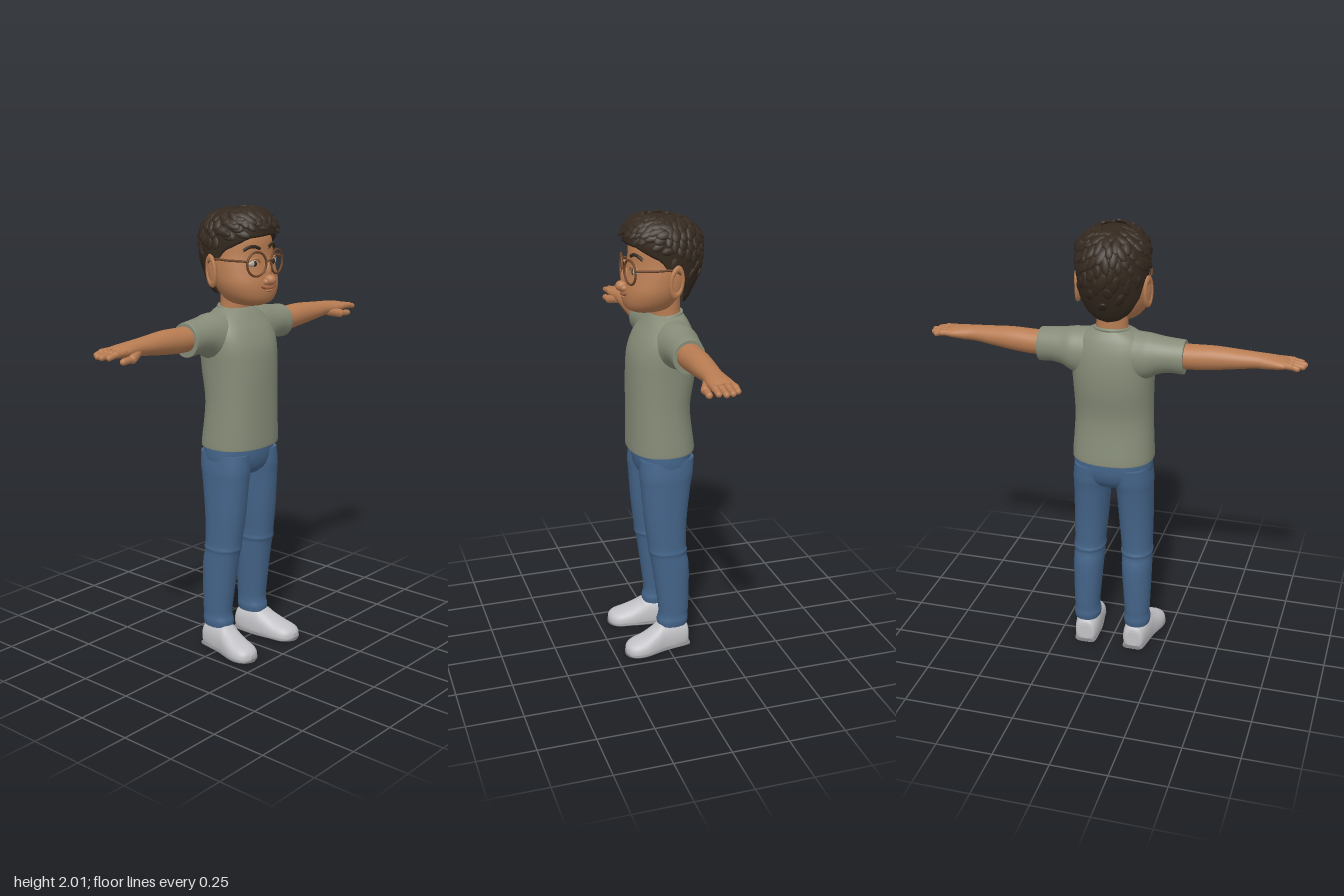
import * as THREE from 'three';
import { mergeGeometries } from 'three/addons/utils/BufferGeometryUtils.js';

const mat = (name, color, side = THREE.FrontSide) => {
  const m = new THREE.MeshStandardMaterial({ color, side });
  m.name = name;
  return m;
};
const V = (x, y, z) => new THREE.Vector3(x, y, z);

// Smooth loft through elliptical rings [t, c1, c2, r1, r2] stacked along an axis
function loft(axis, rings, { seg = 32, sub = 5, p = 2, floor = -9 } = {}) {
  const rows = [], pos = [], idx = [];
  const R = i => rings[Math.max(0, Math.min(rings.length - 1, i))];
  for (let i = 0; i < rings.length - 1; i++)
    for (let k = 0; k < sub + (i === rings.length - 2 ? 1 : 0); k++) {
      const t = k / sub, [a, b, c, d] = [R(i - 1), R(i), R(i + 1), R(i + 2)];
      rows.push(b.map((_, n) => 0.5 * (2 * b[n] + (c[n] - a[n]) * t + (2 * a[n] - 5 * b[n] + 4 * c[n] - d[n]) * t * t
        + (3 * b[n] - a[n] - 3 * c[n] + d[n]) * t * t * t)));
    }
  const pw = v => Math.sign(v) * Math.abs(v) ** (2 / p);
  const put = ([t, c1, c2, r1, r2], ang) => {
    const u = c1 + r1 * pw(Math.cos(ang)), s = r2 * pw(Math.sin(ang));
    const v = axis === 'y' ? [u, t, c2 + s] : axis === 'x' ? [t, u, c2 - s] : [u, c2 - s, t];
    pos.push(v[0], Math.max(floor, v[1]), v[2]);
  };
  const ring = row => { for (let j = 0; j < seg; j++) put(row, j / seg * Math.PI * 2); };
  rows.forEach(ring);
  for (let i = 0; i < rows.length - 1; i++)
    for (let j = 0; j < seg; j++) {
      const a = i * seg + j, b = i * seg + (j + 1) % seg;
      idx.push(a, a + seg, b, b, a + seg, b + seg);
    }
  // crisp end caps
  [rows[0], rows[rows.length - 1]].forEach((row, e) => {
    const s = pos.length / 3;
    ring(row);
    put([row[0], row[1], row[2], 0, 0], 0);
    for (let j = 0; j < seg; j++) {
      const k = (j + 1) % seg;
      idx.push(s + seg, s + (e ? k : j), s + (e ? j : k));
    }
  });
  return build(pos, idx);
}
function build(pos, idx) {
  const g = new THREE.BufferGeometry();
  g.setAttribute('position', new THREE.Float32BufferAttribute(pos, 3));
  g.setIndex(idx);
  g.computeVertexNormals();
  return g;
}
function mirror(geo) {
  const g = geo.clone().scale(-1, 1, 1), ix = g.index.array;
  for (let i = 0; i < ix.length; i += 3) [ix[i], ix[i + 1]] = [ix[i + 1], ix[i]];
  return g;
}
function capsule(a, b, r) {
  const d = b.clone().sub(a), g = new THREE.CapsuleGeometry(r, d.length(), 5, 12);
  g.applyQuaternion(new THREE.Quaternion().setFromUnitVectors(V(0, 1, 0), d.normalize()));
  return g.translate(...a.clone().add(b).multiplyScalar(0.5).toArray());
}
const ball = (x, y, z, rx, ry, rz) => new THREE.SphereGeometry(1, 24, 16).scale(rx, ry, rz).translate(x, y, z);
const tube = (pts, r, n = 16) => new THREE.TubeGeometry(new THREE.CatmullRomCurve3(pts.map(q => V(...q))), n, r, 8);

// Linear lookup in a table whose first column ascends
function lookup(table, t) {
  let i = 0;
  while (i < table.length - 2 && t > table[i + 1][0]) i++;
  const a = table[i], b = table[i + 1], k = THREE.MathUtils.clamp((t - a[0]) / (b[0] - a[0]), 0, 1);
  return a.map((v, n) => v + (b[n] - v) * k);
}

// Hair volume: [y, centre z, half width, half depth], and hairline height by angle from the front
const HAIR = [[1.61, -.05, .085, .06], [1.66, -.045, .118, .095], [1.72, -.035, .142, .133], [1.80, -.028, .152, .162],
  [1.88, -.018, .155, .171], [1.93, -.01, .146, .160], [1.965, 0, .113, .125], [1.985, .008, .07, .08], [1.994, .01, 0, 0]];
const HAIRLINE = [[0, 1.885], [.6, 1.875], [1.0, 1.84], [1.25, 1.82], [1.4, 1.76], [1.6, 1.77], [1.75, 1.80],
  [1.95, 1.72], [2.2, 1.65], [2.6, 1.62], [3.15, 1.61]];
const hairline = a => lookup(HAIRLINE, Math.acos(Math.sin(a)))[1];
function hairPoint(a, y, k = 1) {
  const [, cz, rx, rz] = lookup(HAIR, y);
  return V(rx * k * Math.cos(a), y, cz + rz * k * Math.sin(a));
}
function hairShell() {
  const seg = 64, n = 18, pos = [], idx = [];
  for (let i = 0; i <= n; i++)
    for (let j = 0; j < seg; j++) {
      const a = j / seg * Math.PI * 2, yb = hairline(a), t = Math.max(0, i - 1) / (n - 1);
      const y = yb + (1.994 - yb) * Math.sin(t * Math.PI / 2);
      pos.push(...hairPoint(a, y, i ? 1 : 0.82).toArray());
      const p = i * seg + j, q = i * seg + (j + 1) % seg;
      if (i < n) idx.push(p, p + seg, q, q, p + seg, q + seg);
    }
  return build(pos, idx);
}
function hairLocks() {
  let seed = 7;
  const rnd = () => (seed = (seed * 16807) % 2147483647) / 2147483647;
  const list = [];
  for (let i = 0; i < 150; i++) {
    const a = i * 2.39996, yb = hairline(a) + 0.03;
    const y = yb + (1.985 - yb) * Math.sqrt((i + 0.5) / 150);
    const p = hairPoint(a, y, 0.975);
    const n = V(p.x / .024, (y - 1.84) / .026, (p.z + .02) / .03).normalize();
    // strands fall at the back and sweep forward on top
    const flow = V(rnd() - .5, p.z < 0 ? -1 : -.2, p.z < 0 ? .2 : .8);
    const side = flow.cross(n).normalize();
    const dir = n.clone().cross(side).addScaledVector(n, .25 * rnd()).normalize();
    const up = dir.clone().cross(side).normalize();
    const g = new THREE.IcosahedronGeometry(1, 1).scale(.017 + .006 * rnd(), .010, .03 + .014 * rnd());
    list.push(g.applyMatrix4(new THREE.Matrix4().makeBasis(side, up, dir).setPosition(p)));
  }
  return mergeGeometries(list);
}

export function createModel() {
  const root = new THREE.Group();
  root.name = 'standingMan';
  const skin = mat('skin', 0xb87c52), shirt = mat('shirtGreen', 0x868c78), denim = mat('denim', 0x446489);
  const hair = mat('darkHair', 0x34291f, THREE.DoubleSide), shoe = mat('shoeGrey', 0xc2c2c6), sole = mat('soleGrey', 0x88888c);
  const frame = mat('glassesBrown', 0x6e452a), lip = mat('lip', 0x95583f), white = mat('eyeWhite', 0xb9ad9e);
  const add = (name, geo, m) => {
    const mesh = new THREE.Mesh(geo, m);
    mesh.name = name;
    root.add(mesh);
  };
  const pair = (name, geo, m) => {
    add('left' + name, geo, m);
    add('right' + name, mirror(geo), m);
  };

  // Shirt
  add('shirtBody', loft('y', [[.96, 0, -.006, .180, .144], [.975, 0, -.006, .182, .146], [1.15, 0, .003, .173, .136],
    [1.3, 0, -.008, .176, .146], [1.4, 0, -.014, .182, .143], [1.47, 0, -.023, .178, .125], [1.52, 0, -.032, .15, .1],
    [1.55, 0, -.036, .11, .08], [1.566, 0, -.038, .075, .066]], { p: 2.3 }), shirt);
  pair('Sleeve', loft('x', [[.02, 1.45, -.036, .11, .09], [.12, 1.448, -.038, .107, .095], [.17, 1.455, -.042, .098, .09],
    [.21, 1.462, -.040, .083, .082], [.26, 1.464, -.038, .075, .076], [.31, 1.460, -.035, .075, .072],
    [.32, 1.459, -.035, .073, .070]]), shirt);
  add('collar', new THREE.TorusGeometry(.073, .008, 10, 36).rotateX(Math.PI / 2 + .12).scale(1, 1, .92)
    .translate(0, 1.562, -.036), shirt);

  // Jeans
  add('jeansHips', loft('y', [[.83, 0, -.01, .10, .085], [.86, 0, -.01, .155, .112], [.91, 0, -.012, .177, .126],
    [.98, 0, -.012, .174, .126]], { p: 2.2 }), denim);
  pair('JeansLeg', loft('y', [[.115, .12, -.03, .058, .069], [.14, .12, -.032, .061, .072], [.17, .12, -.035, .057, .068],
    [.22, .12, -.035, .059, .071], [.4, .115, -.024, .068, .084], [.47, .113, -.012, .069, .084], [.49, .112, -.01, .073, .089],
    [.52, .111, -.007, .070, .087], [.65, .105, -.002, .076, .098], [.8, .099, -.005, .081, .113],
    [.86, .095, -.008, .085, .121], [.93, .09, -.012, .082, .122]], { p: 2.2 }), denim);

  // Shoes: rings run heel to toe, flattened on the ground
  pair('Shoe', loft('z', [[-.104, .115, .05, .03, .035], [-.095, .116, .05, .047, .06], [-.05, .118, .05, .057, .078],
    [.02, .126, .045, .060, .086], [.06, .135, .035, .063, .072], [.11, .145, .025, .067, .056], [.16, .150, .02, .062, .046],
    [.188, .152, .02, .043, .032], [.2, .152, .02, .015, .015]], { p: 2.3, floor: .012 }), shoe);
  pair('ShoeSole', loft('z', [[-.107, .115, .008, .032, .008], [-.095, .116, .008, .05, .008], [.02, .126, .008, .061, .008],
    [.11, .146, .008, .068, .008], [.16, .150, .008, .064, .008], [.19, .152, .008, .044, .008],
    [.202, .152, .008, .015, .008]], { p: 3, floor: 0 }), sole);

  // Arms and hands
  pair('Arm', loft('x', [[.29, 1.465, -.036, .053, .055], [.36, 1.465, -.035, .054, .055], [.45, 1.470, -.034, .051, .052],
    [.55, 1.473, -.030, .041, .047], [.62, 1.475, -.027, .034, .043], [.67, 1.474, -.026, .031, .048],
    [.72, 1.474, -.026, .025, .054], [.755, 1.473, -.026, .018, .05]]), skin);
  [[-.066, .795], [-.039, .815], [-.011, .82], [.015, .805]].forEach(([z, end], i) => pair('Finger' + (i + 1),
    mergeGeometries([capsule(V(.72, 1.477, z * .9), V(.77, 1.475, z), .0145),
      capsule(V(.77, 1.475, z), V(end, 1.468, z), .0125)]), skin));
  pair('Thumb', mergeGeometries([capsule(V(.64, 1.46, .0), V(.69, 1.448, .026), .02),
    capsule(V(.69, 1.448, .026), V(.745, 1.445, .031), .014)]), skin);

  // Head
  add('neck', loft('y', [[1.5, 0, -.036, .078, .066], [1.57, 0, -.034, .069, .062], [1.66, 0, -.03, .07, .066]]), skin);
  add('face', loft('y', [[1.583, 0, .06, .045, .045], [1.598, 0, .05, .088, .09], [1.63, 0, .042, .122, .113],
    [1.68, 0, .028, .145, .128], [1.74, 0, .006, .150, .135], [1.8, 0, -.01, .147, .139], [1.87, 0, -.017, .140, .138],
    [1.93, 0, -.025, .110, .11], [1.965, 0, -.03, .05, .05]], { seg: 40, p: 2.15 }), skin);
  add('nose', mergeGeometries([ball(0, 1.697, .158, .025, .024, .030), ball(0, 1.73, .143, .016, .045, .022),
    ball(.018, 1.69, .152, .014, .014, .018), ball(-.018, 1.69, .152, .014, .014, .018)]), skin);
  add('mouth', tube([[-.046, 1.672, .150], [-.022, 1.663, .157], [0, 1.661, .159], [.022, 1.663, .157], [.046, 1.672, .150]], .005), lip);
  add('lowerLip', ball(0, 1.652, .152, .026, .008, .011), skin);
  pair('Ear', mergeGeometries([ball(0, 0, 0, .013, .066, .034), new THREE.TorusGeometry(.03, .009, 8, 24)
    .rotateY(Math.PI / 2).scale(1, 1.85, .95).translate(.006, .004, 0)]).rotateY(.25).rotateX(-.1).translate(.149, 1.73, -.032), skin);

  // Eyes and brows
  pair('Eye', ball(.061, 1.768, .116, .030, .017, .016), white);
  pair('Iris', ball(.060, 1.768, .129, .010, .012, .005), hair);
  pair('Eyelid', tube([[.030, 1.770, .130], [.045, 1.786, .132], [.063, 1.789, .130], [.081, 1.785, .122], [.094, 1.772, .112]], .005), skin);
  pair('Eyebrow', tube([[.026, 1.828, .126], [.055, 1.839, .121], [.08, 1.837, .112], [.102, 1.824, .098]], .007), hair);

  // Glasses
  pair('GlassesRim', new THREE.TorusGeometry(.051, .005, 8, 40).rotateY(.2).translate(.066, 1.768, .143), frame);
  pair('GlassesTemple', tube([[.116, 1.782, .132], [.127, 1.784, .125], [.146, 1.784, .06], [.157, 1.784, -.02], [.156, 1.768, -.05]], .005), frame);
  add('glassesBridge', tube([[-.018, 1.775, .153], [0, 1.782, .162], [.018, 1.775, .153]], .005), frame);

  // Hair
  add('hairVolume', hairShell(), hair);
  add('hairLocks', hairLocks(), hair);
  return root;
}
